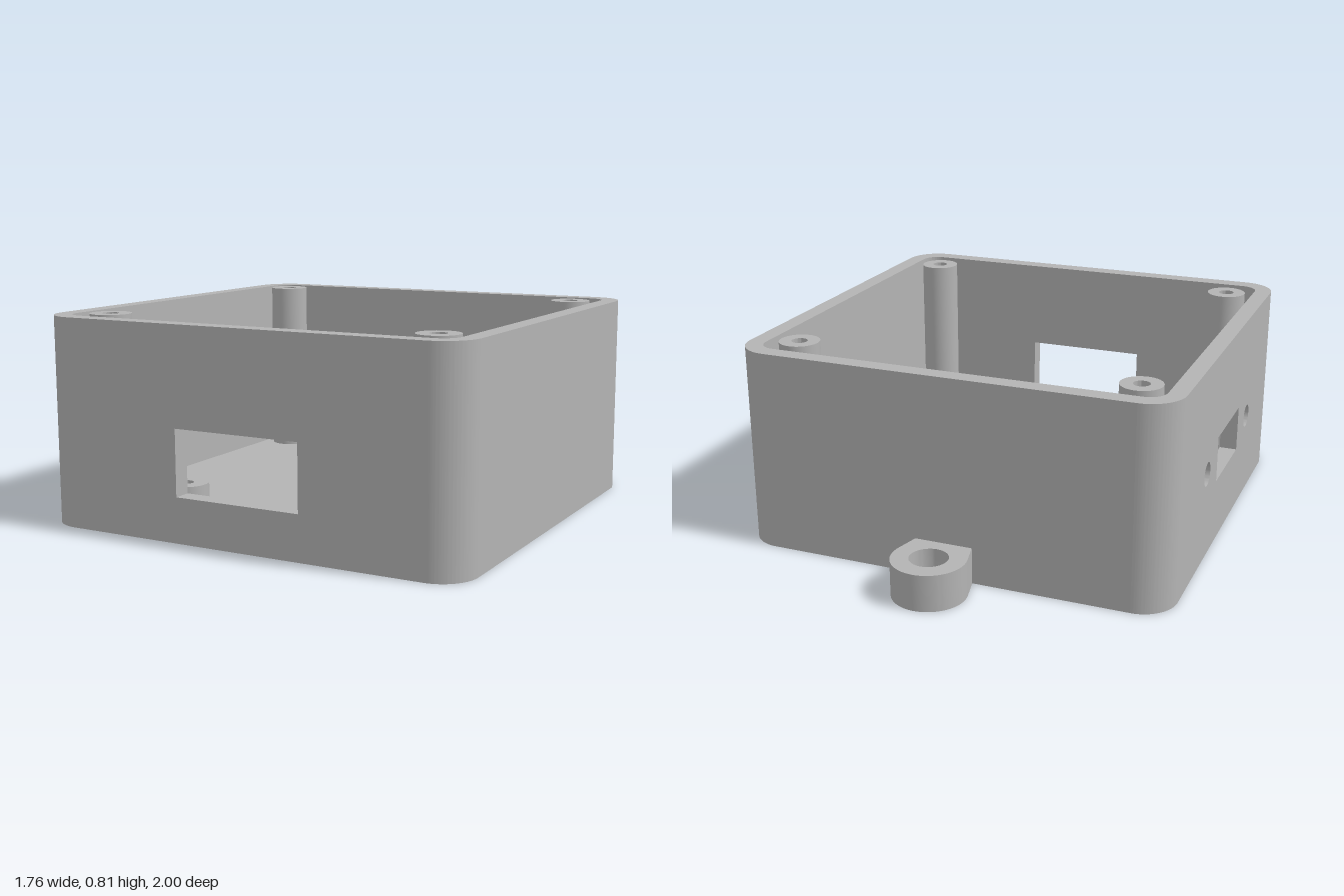
import * as THREE from 'three';
import { toCreasedNormals } from 'three/addons/utils/BufferGeometryUtils.js';

const HX = 0.88, HZ = 0.8625, CZ = 0.1375; // half sizes and z centre of the box
const H = 0.81, R = 0.14, T = 0.07;        // height, corner radius, wall thickness
const CX = HX - R, CY = HZ - R;            // corner centres

const extrude = (shape, depth) => toCreasedNormals(
  new THREE.ExtrudeGeometry(shape, { depth, bevelEnabled: false, curveSegments: 24 }), 0.6);

// Plan shapes use (x, -z) and grow upwards
const extrudeUp = (shape, height) => extrude(shape, height).rotateX(-Math.PI / 2);

function circleHole(x, y, r) {
  const p = new THREE.Path();
  p.absarc(x, y, r, 0, Math.PI * 2, true);
  return p;
}

function rect(path, x0, y0, x1, y1) {
  path.moveTo(x0, y0);
  path.lineTo(x1, y0);
  path.lineTo(x1, y1);
  path.lineTo(x0, y1);
  path.closePath();
  return path;
}

function ring(outer, inner) {
  const s = new THREE.Shape();
  s.absarc(0, 0, outer, 0, Math.PI * 2, false);
  s.holes.push(circleHole(0, 0, inner));
  return s;
}

export function createModel() {
  const model = new THREE.Group();
  model.name = 'enclosure';
  const grey = new THREE.MeshStandardMaterial({ color: 0xb3b3b3 });
  grey.name = 'grey plastic';

  const box = new THREE.Group();
  box.name = 'box';
  box.position.z = CZ;
  model.add(box);

  const add = (parent, name, geometry, x = 0, y = 0, z = 0) => {
    const mesh = new THREE.Mesh(geometry, grey);
    mesh.name = name;
    mesh.position.set(x, y, z);
    parent.add(mesh);
  };

  // Floor between the walls
  const r = R - T, floor = new THREE.Shape();
  floor.absarc(CX, CY, r, 0, Math.PI / 2, false);
  floor.absarc(-CX, CY, r, Math.PI / 2, Math.PI, false);
  floor.absarc(-CX, -CY, r, Math.PI, Math.PI * 1.5, false);
  floor.absarc(CX, -CY, r, Math.PI * 1.5, Math.PI * 2, false);
  add(box, 'floor', extrudeUp(floor, T));

  // Rounded corner walls
  [[1, 1], [-1, 1], [-1, -1], [1, -1]].forEach(([sx, sy], i) => {
    const a = i * Math.PI / 2, b = a + Math.PI / 2;
    const s = new THREE.Shape();
    s.absarc(sx * CX, sy * CY, R, a, b, false);
    s.absarc(sx * CX, sy * CY, R - T, b, a, true);
    add(box, 'cornerWall', extrudeUp(s, H));
  });

  // Front wall with display window, plain back wall
  const front = rect(new THREE.Shape(), -CX, 0, CX, H);
  front.holes.push(rect(new THREE.Path(), -0.258, 0.175, 0.258, 0.43));
  add(box, 'frontWall', extrude(front, T), 0, 0, HZ - T);
  add(box, 'backWall', extrude(rect(new THREE.Shape(), -CX, 0, CX, H), T), 0, 0, -HZ);

  // Side walls: the right one has a port and two screw holes
  const side = () => rect(new THREE.Shape(), -CY, 0, CY, H);
  const portWall = side();
  portWall.holes.push(rect(new THREE.Path(), -0.18, 0.268, 0.18, 0.455));
  for (const s of [-1, 1]) portWall.holes.push(circleHole(s * 0.345, 0.362, 0.048));
  add(box, 'rightWall', extrude(portWall, T).rotateY(-Math.PI / 2), -HX + T);
  add(box, 'leftWall', extrude(side(), T).rotateY(-Math.PI / 2), HX);

  // Lid posts and board standoffs, mirrored in both directions
  const post = extrudeUp(ring(0.081, 0.032), H - T);
  const standoff = extrudeUp(ring(0.09, 0.031), 0.147 - T);
  for (const sx of [-1, 1]) for (const sz of [-1, 1]) {
    add(box, 'lidPost', post, sx * 0.696, T, sz * 0.661);
    add(box, 'boardStandoff', standoff, sx * 0.44, T, sz * 0.55);
  }

  // Hanging lug: tapered eye running through the back wall
  const rA = 0.145, rB = 0.105, yA = 0.855, yB = 0.69;
  const phi = Math.asin((rA - rB) / (yA - yB));
  const lug = new THREE.Shape();
  lug.absarc(0, yA, rA, -phi, Math.PI + phi, false);
  lug.absarc(0, yB, rB, Math.PI + phi, Math.PI * 2 - phi, false);
  lug.holes.push(circleHole(0, yA, 0.075));
  add(model, 'hangingLug', extrudeUp(lug, 0.147));

  return model;
}
